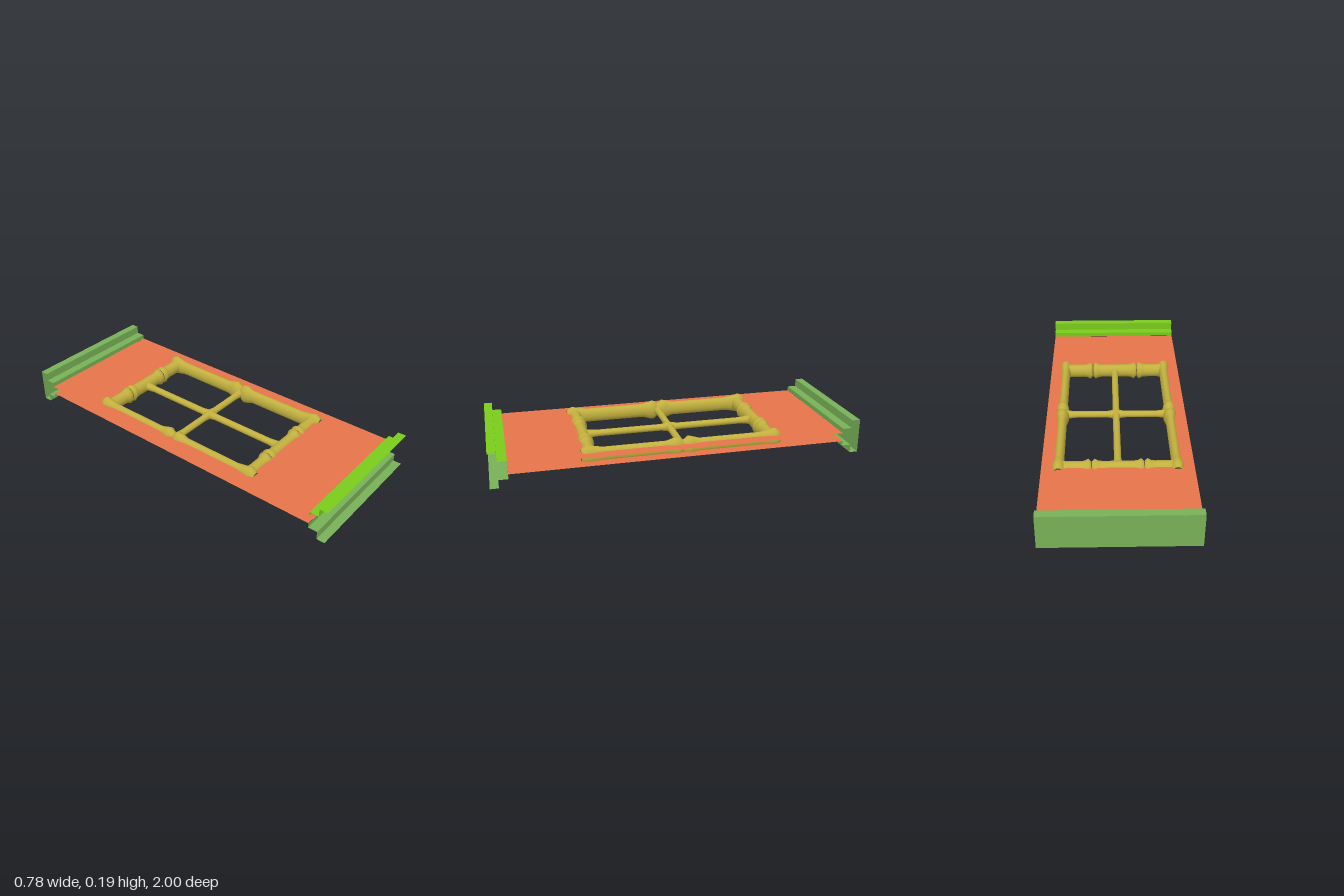
import * as THREE from 'three';

const paint = (name, color, side = THREE.FrontSide) => {
  const m = new THREE.MeshStandardMaterial({ color, side });
  m.name = name;
  return m;
};

const HALF = 0.39;   // half width of the panel and rails
const MID = 0.094;   // mid height
const CZ = -0.018;   // centre of the window frame in z

export function createModel() {
  const group = new THREE.Group();
  const terracotta = paint('terracotta', 0xe67349, THREE.DoubleSide);
  const sage = paint('sage green', 0x78b057, THREE.DoubleSide);
  const lime = paint('lime green', 0x7acb1c, THREE.DoubleSide);
  const bamboo = paint('bamboo', 0xc2b03e);
  const brown = paint('cut end brown', 0x6b5a3c);

  const add = (name, geo, mat, x = 0, y = 0, z = 0) => {
    const mesh = new THREE.Mesh(geo, mat);
    mesh.name = name;
    mesh.position.set(x, y, z);
    group.add(mesh);
    return mesh;
  };

  // Folded sheet: a [z, y] profile swept across the width
  const sheet = (profile) => {
    const pos = [];
    for (let i = 0; i + 1 < profile.length; i++) {
      const [[z0, y0], [z1, y1]] = [profile[i], profile[i + 1]];
      const a = [-HALF, y0, z0], b = [HALF, y0, z0], c = [HALF, y1, z1], d = [-HALF, y1, z1];
      pos.push(...a, ...b, ...c, ...a, ...c, ...d);
    }
    const g = new THREE.BufferGeometry();
    g.setAttribute('position', new THREE.Float32BufferAttribute(pos, 3));
    g.computeVertexNormals();
    return g;
  };

  // Panel: upper and lower skin with the window opening
  const outline = new THREE.Shape();
  outline.moveTo(-HALF, -0.905).lineTo(HALF, -0.905).lineTo(HALF, 0.905).lineTo(-HALF, 0.905).closePath();
  const hole = new THREE.Path();
  hole.moveTo(-0.303, -0.482).lineTo(-0.303, 0.522).lineTo(0.303, 0.522).lineTo(0.303, -0.482).closePath();
  outline.holes.push(hole);
  const skin = new THREE.ShapeGeometry(outline).rotateX(-Math.PI / 2);
  add('panelTop', skin, terracotta, 0, 0.117);
  add('panelBottom', skin.clone().rotateZ(Math.PI), terracotta, 0, 0.071);

  // Stepped rails gripping both ends of the panel
  const upper = [[0.905, 0.118], [0.905, 0.143], [0.955, 0.143], [0.955, 0.188], [1, 0.188]];
  const lower = upper.map(([z, y]) => [z, 0.188 - y]);
  const back = (p) => p.map(([z, y]) => [-z, y]);
  add('frontUpperRail', sheet(upper), lime);
  add('frontLowerRail', sheet(lower), sage);
  add('backRail', sheet([...back(upper), ...back(lower).reverse()]), sage);

  // Bamboo cane: smooth lathe of [position, radius] points, flattened sideways
  const cane = (profile, flat, alongX) => {
    const pts = profile.map(([t, r]) => new THREE.Vector2(r, t));
    const g = new THREE.LatheGeometry(pts, 16);
    return alongX
      ? g.scale(1, 1, flat).rotateZ(-Math.PI / 2)
      : g.scale(flat, 1, 1).rotateX(Math.PI / 2);
  };
  const mirrored = (half) => [...half.map(([t, r]) => [-t, r]).reverse(), ...half];

  // Side canes with a joint in the middle and tapered cut ends
  const SIDE_FLAT = 0.64;
  const sideHalf = [
    [0.002, 0.04], [0.008, 0.044], [0.028, 0.059], [0.05, 0.054], [0.09, 0.041],
    [0.43, 0.041], [0.48, 0.05], [0.516, 0.059], [0.537, 0.048], [0.547, 0.035],
  ];
  const sideGeo = cane(mirrored(sideHalf), SIDE_FLAT, false);
  const capGeo = new THREE.CircleGeometry(0.035, 16).scale(0.75, 1, 1);
  for (const s of [-1, 1]) {
    const name = s > 0 ? 'left' : 'right';
    add(name + 'Cane', sideGeo, bamboo, s * 0.303, MID, CZ);
    add(name + 'FrontCutEnd', capGeo, brown, s * 0.303, MID, CZ + 0.547);
    add(name + 'BackCutEnd', capGeo, brown, s * 0.303, MID, CZ - 0.547).rotation.y = Math.PI;
  }

  // Cross canes with two grooved joints each
  const CROSS_FLAT = 0.85;
  const joint = 0.135;
  const crossHalf = [
    [0.08, 0.04], [joint - 0.035, 0.043], [joint - 0.016, 0.053], [joint - 0.002, 0.038],
    [joint + 0.002, 0.038], [joint + 0.016, 0.053], [joint + 0.035, 0.043], [0.19, 0.04],
    [0.26, 0.04], [0.3, 0.045], [0.32, 0.038], [0.328, 0.025], [0.329, 0],
  ];
  const crossGeo = cane(mirrored(crossHalf), CROSS_FLAT, true);
  const grooveGeo = cane([[-0.002, 0.0385], [0.002, 0.0385]], CROSS_FLAT, true);
  for (const [name, z] of [['front', 0.482], ['back', -0.522]]) {
    add(name + 'Cane', crossGeo, bamboo, 0, MID, z);
    for (const s of [-1, 1]) add(name + 'JointGroove', grooveGeo, brown, s * joint, MID, z);
  }

  // Thin glazing bars, slightly flared at the crossing and the ends
  const bar = (len) => mirrored([[0.001, 0.025], [0.02, 0.024], [0.05, 0.019], [len - 0.06, 0.019], [len, 0.026]]);
  add('longGlazingBar', cane(bar(0.48), 1, false), bamboo, 0, MID, CZ);
  add('crossGlazingBar', cane(bar(0.29), 1, true), bamboo, 0, MID, CZ);

  return group;
}
